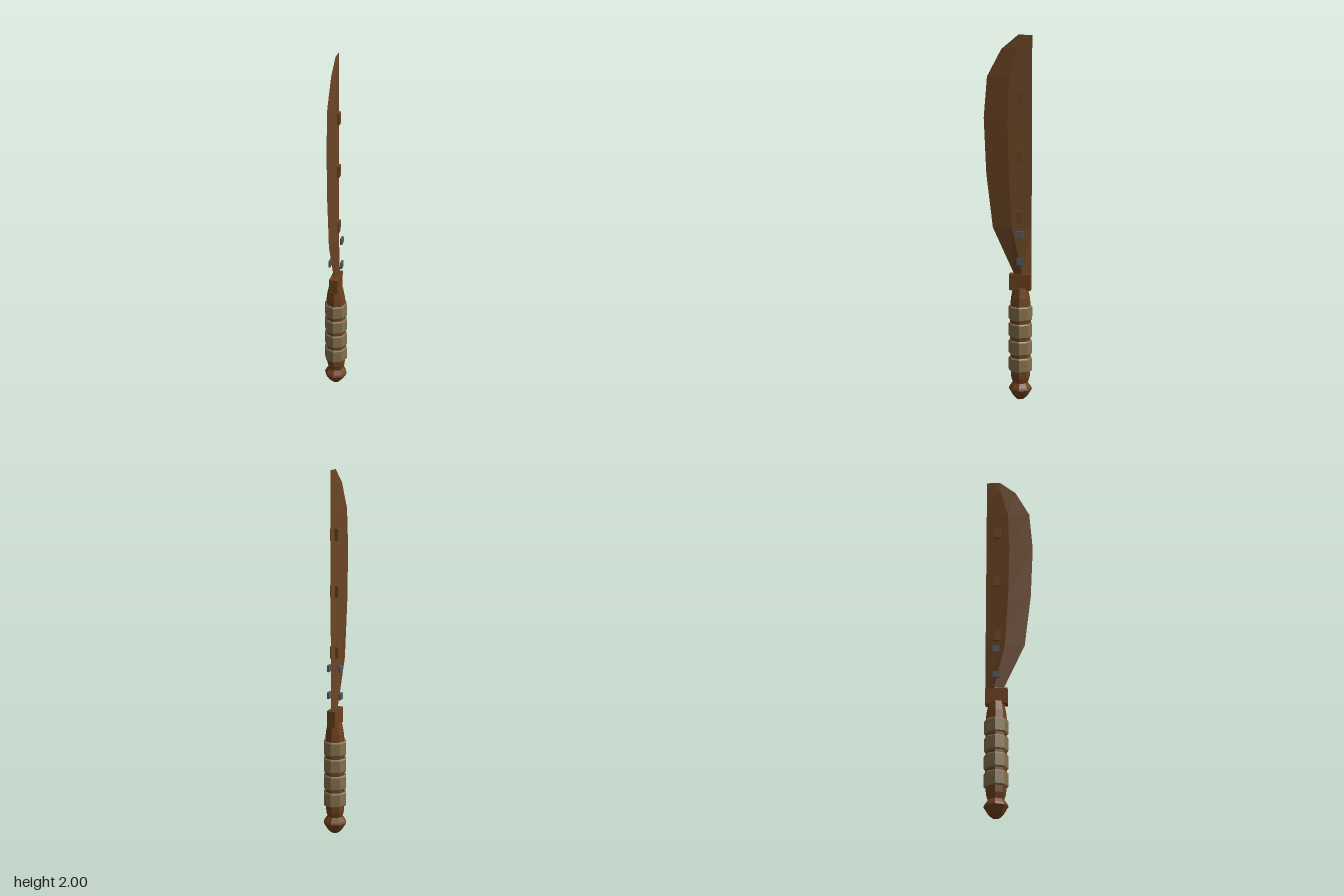
import * as THREE from 'three';

export function createModel() {
  const group = new THREE.Group();
  group.name = 'machete';

  const material = (name, color) => {
    const m = new THREE.MeshStandardMaterial({ color });
    m.name = name;
    m.flatShading = true;
    return m;
  };
  const bladeBrown = material('bladeBrown', 0x6b4525);
  const wood = material('wood', 0x6e411d);
  const wrapTan = material('wrapTan', 0x85704f);
  const metal = material('metal', 0x575b68);

  const AXIS_Z = -0.067; // centre line of the handle
  const SPINE_Z = -0.127; // straight back of the blade

  const add = (name, geometry, mat, x = 0, y = 0, z = AXIS_Z) => {
    const mesh = new THREE.Mesh(geometry, mat);
    mesh.name = name;
    mesh.position.set(x, y, z);
    group.add(mesh);
  };
  const box = (name, mat, w, h, d, x, y, z) =>
    add(name, new THREE.BoxGeometry(w, h, d), mat, x, y, z);
  // Eight-sided turned part from [radius, height] pairs, bottom to top
  const turned = (name, mat, profile, y = 0) =>
    add(name, new THREE.LatheGeometry(profile.map(([r, h]) => new THREE.Vector2(r, h)), 8), mat, 0, y);

  // Blade: diamond sections given as [height, cutting edge z, half thickness]
  const sections = [
    [0.64, -0.03, 0.02], [0.72, -0.027, 0.02], [0.965, 0.085, 0.018],
    [1.26, 0.12, 0.017], [1.56, 0.133, 0.015], [1.78, 0.115, 0.012],
    [1.925, 0.038, 0.006], [2.0, -0.052, 0],
  ];
  const positions = [];
  const index = [];
  sections.forEach(([y, edge, t], i) => {
    const mid = (edge + SPINE_Z) / 2;
    positions.push(0, y, edge, t, y, mid, 0, y, SPINE_Z, -t, y, mid);
    if (i === 0) return;
    for (let k = 0; k < 4; k++) {
      const a = (i - 1) * 4 + k;
      const b = (i - 1) * 4 + ((k + 1) % 4);
      index.push(a, b, b + 4, a, b + 4, a + 4);
    }
  });
  const blade = new THREE.BufferGeometry();
  blade.setAttribute('position', new THREE.Float32BufferAttribute(positions, 3));
  blade.setIndex(index);
  blade.computeVertexNormals();
  add('blade', blade, bladeBrown, 0, 0, 0);

  // Raised blocks along the spine, standing proud on both sides
  for (const y of [1.025, 1.357, 1.66]) {
    box('spineBlock', bladeBrown, 0.046, 0.065, 0.034, 0, y, -0.063);
  }

  // Metal rivets on each side of the blade root
  for (const y of [0.785, 0.935]) {
    for (const side of [-1, 1]) {
      box('rivet', metal, 0.012, 0.036, 0.036, side * 0.033, y, AXIS_Z);
    }
  }

  // Guard block between blade and handle
  box('guard', wood, 0.048, 0.088, 0.119, 0, 0.667, -0.066);

  // Handle core, swelling in the middle
  turned('handle', wood, [
    [0.04, 0.09], [0.052, 0.13], [0.056, 0.2], [0.057, 0.35],
    [0.057, 0.53], [0.052, 0.58], [0.041, 0.635], [0, 0.635],
  ]);

  // Four bevelled wrap bands
  for (let i = 0; i < 4; i++) {
    turned('gripWrap', wrapTan, [
      [0.05, -0.04], [0.06, -0.04], [0.065, -0.033],
      [0.065, 0.033], [0.06, 0.04], [0.05, 0.04],
    ], 0.205 + i * 0.0967);
  }

  // Rounded pommel
  turned('pommel', wood, [
    [0, 0], [0.022, 0.005], [0.042, 0.025], [0.065, 0.063], [0.06, 0.075], [0.042, 0.1], [0, 0.1],
  ]);

  return group;
}
